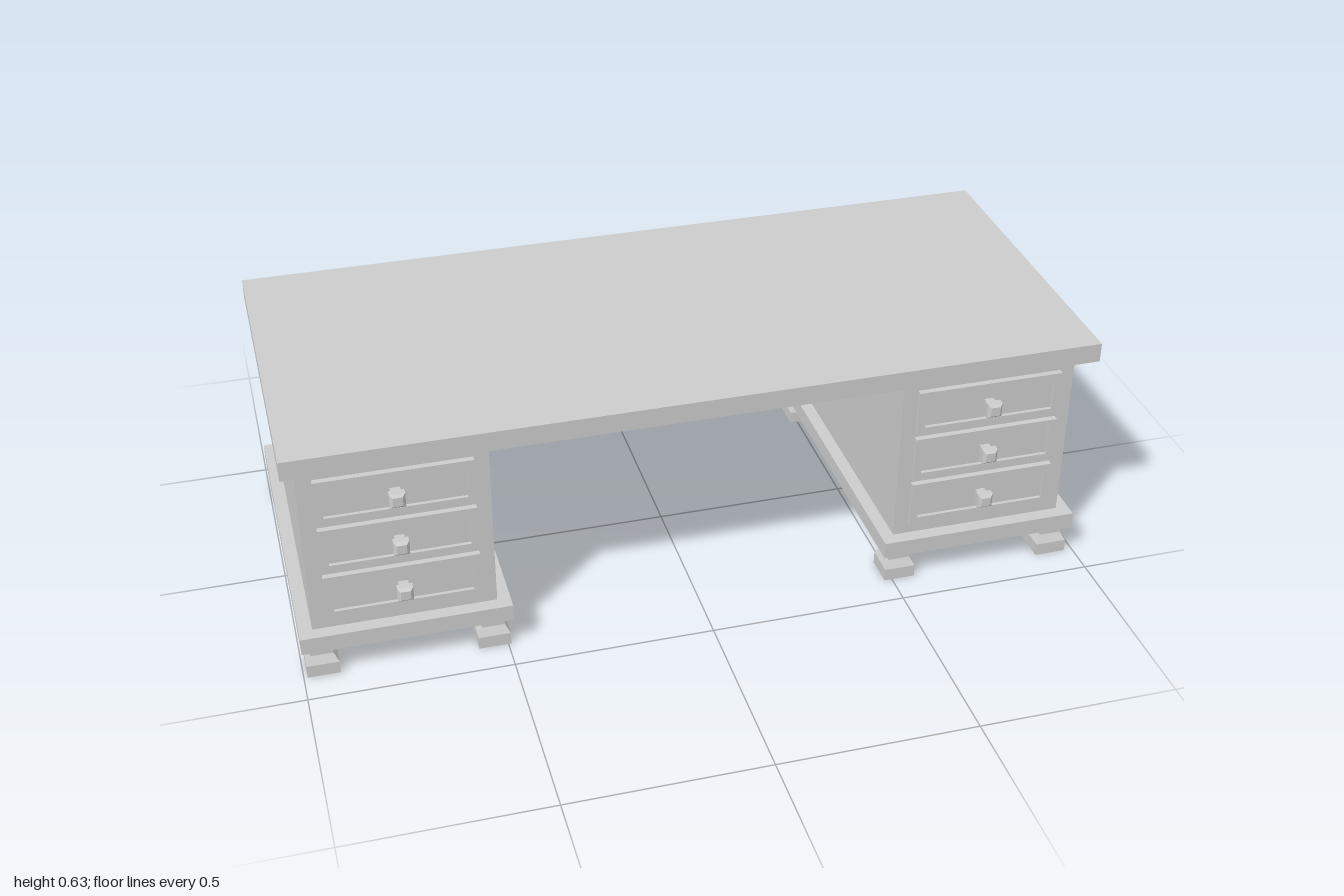
import * as THREE from 'three';

const material = new THREE.MeshStandardMaterial({ color: 0xcccccc, flatShading: true });

function add(parent, name, geometry, x = 0, y = 0, z = 0) {
  const mesh = new THREE.Mesh(geometry, material);
  mesh.name = name;
  mesh.position.set(x, y, z);
  parent.add(mesh);
  return mesh;
}

// Box given by its width and its y and z ranges
function box(parent, name, width, y0, y1, z0, z1) {
  return add(parent, name, new THREE.BoxGeometry(width, y1 - y0, z1 - z0), 0, (y0 + y1) / 2, (z0 + z1) / 2);
}

// Square turned solid: profile of [half width, height], bottom to top
function squareTurned(profile) {
  const points = profile.map(([h, y]) => new THREE.Vector2(h * Math.SQRT2, y));
  return new THREE.LatheGeometry(points, 4, Math.PI / 4);
}

function rectangle(target, w, h) {
  target.moveTo(-w / 2, -h / 2);
  target.lineTo(w / 2, -h / 2);
  target.lineTo(w / 2, h / 2);
  target.lineTo(-w / 2, h / 2);
  target.closePath();
  return target;
}

const footGeometry = squareTurned([[0, 0], [0.04, 0], [0.04, 0.033], [0.028, 0.054], [0.028, 0.078], [0, 0.078]]);

const knobGeometry = squareTurned([
  [0, 0], [0.012, 0], [0.012, 0.018], [0.019, 0.025], [0.019, 0.041], [0.012, 0.048], [0, 0.048],
]).rotateX(Math.PI / 2);

const frameShape = rectangle(new THREE.Shape(), 0.374, 0.122);
frameShape.holes.push(rectangle(new THREE.Path(), 0.337, 0.08));
const frameGeometry = new THREE.ExtrudeGeometry(frameShape, { depth: 0.015, bevelEnabled: false });
const panelGeometry = new THREE.BoxGeometry(0.337, 0.08, 0.008);

// Drawer front: raised frame, recessed panel and knob
function createDrawer(y) {
  const drawer = new THREE.Group();
  drawer.name = 'drawer';
  drawer.position.set(0, y, 0.393);
  add(drawer, 'drawerFrame', frameGeometry);
  add(drawer, 'drawerPanel', panelGeometry, 0, 0, 0.002);
  add(drawer, 'drawerKnob', knobGeometry, 0, 0, 0.003);
  return drawer;
}

function createPedestal(name, x) {
  const pedestal = new THREE.Group();
  pedestal.name = name;
  pedestal.position.x = x;
  box(pedestal, 'cabinet', 0.448, 0.122, 0.58, -0.405, 0.393);
  box(pedestal, 'plinth', 0.514, 0.078, 0.122, -0.436, 0.427);
  for (const y of [0.216, 0.351, 0.486]) pedestal.add(createDrawer(y));
  for (const fx of [-0.209, 0.209]) {
    for (const fz of [-0.39, 0.379]) add(pedestal, 'foot', footGeometry, fx, 0, fz);
  }
  return pedestal;
}

export function createModel() {
  const desk = new THREE.Group();
  desk.name = 'desk';
  box(desk, 'desktop', 2, 0.58, 0.63, -0.441, 0.43);
  // The pedestals sit slightly off centre
  desk.add(createPedestal('rightPedestal', -0.742), createPedestal('leftPedestal', 0.729));
  return desk;
}
